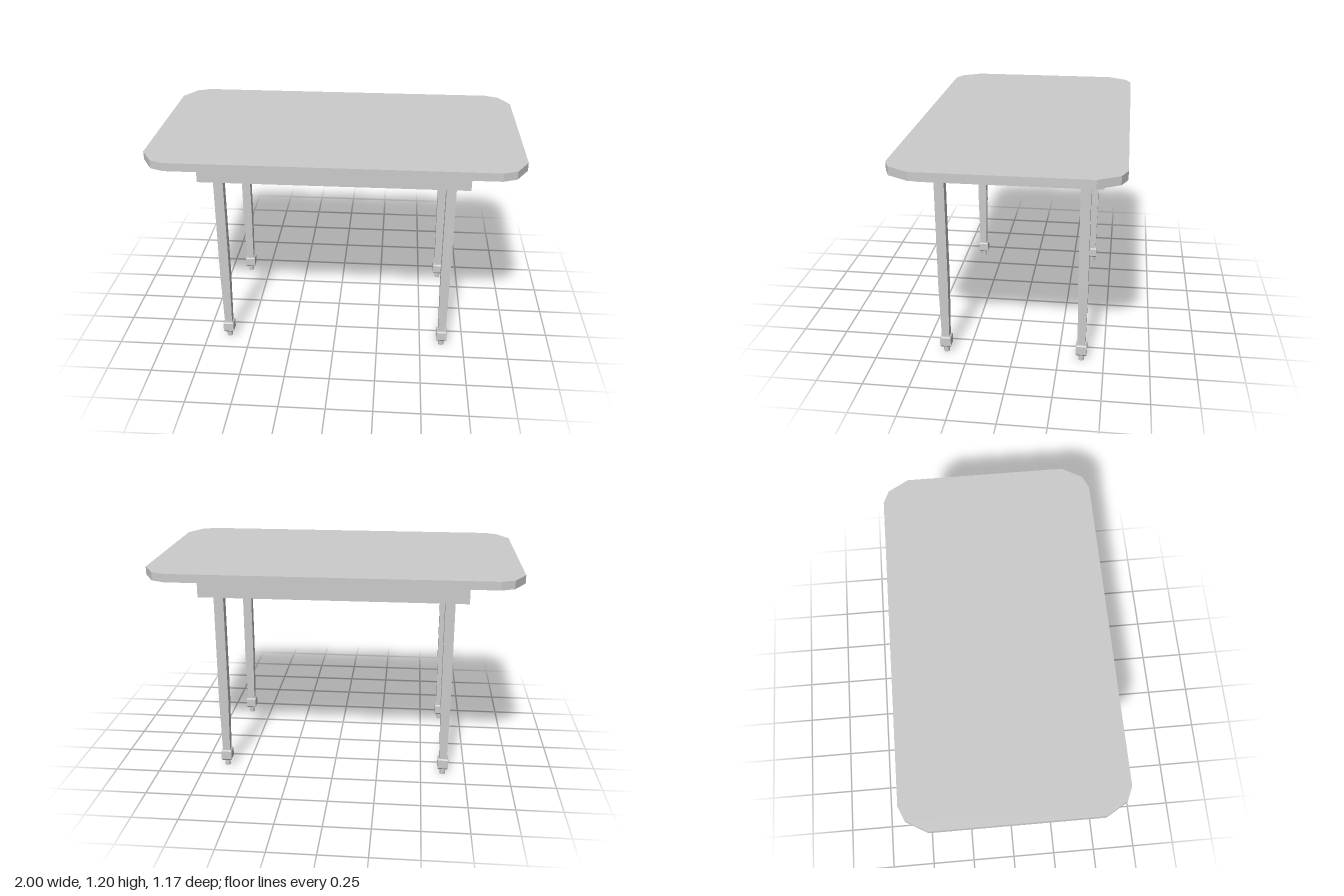
import * as THREE from 'three';

const material = new THREE.MeshStandardMaterial({ color: 0xcccccc, flatShading: true });

function addMesh(parent, geometry, name, x = 0, y = 0, z = 0) {
  const mesh = new THREE.Mesh(geometry, material);
  mesh.name = name;
  mesh.position.set(x, y, z);
  parent.add(mesh);
  return mesh;
}

// Square turned part from [half width, y] pairs, bottom to top, closed at both ends
function squareProfile(pairs) {
  const points = pairs.map(([half, y]) => new THREE.Vector2(half * Math.SQRT2, y));
  points.unshift(new THREE.Vector2(0, pairs[0][1]));
  points.push(new THREE.Vector2(0, pairs[pairs.length - 1][1]));
  return new THREE.LatheGeometry(points, 4, Math.PI / 4);
}

// Slab outline with two-step clipped corners
function tabletopGeometry(thickness) {
  const corner = [[1, 0.44], [0.935, 0.552], [0.862, 0.583]];
  const reversed = [...corner].reverse();
  const outline = [
    ...corner,
    ...reversed.map(([x, z]) => [-x, z]),
    ...corner.map(([x, z]) => [-x, -z]),
    ...reversed.map(([x, z]) => [x, -z]),
  ];
  const shape = new THREE.Shape(outline.map(([x, z]) => new THREE.Vector2(x, z)));
  return new THREE.ExtrudeGeometry(shape, { depth: thickness, bevelEnabled: false }).rotateX(-Math.PI / 2);
}

export function createModel() {
  const table = new THREE.Group();
  table.name = 'table';

  const topY = 1.15;
  addMesh(table, tabletopGeometry(0.045), 'tabletop', 0, topY, 0);

  // Thin apron boards under the top
  const apron = new THREE.Group();
  apron.name = 'apron';
  table.add(apron);
  const halfX = 0.72, halfZ = 0.47, height = 0.11, board = 0.02;
  const longBoard = new THREE.BoxGeometry(halfX * 2, height, board);
  const shortBoard = new THREE.BoxGeometry(board, height, (halfZ - board) * 2);
  for (const s of [1, -1]) {
    addMesh(apron, longBoard, s > 0 ? 'frontApron' : 'backApron', 0, topY - height / 2, s * (halfZ - board / 2));
    addMesh(apron, shortBoard, s > 0 ? 'leftApron' : 'rightApron', s * (halfX - board / 2), topY - height / 2, 0);
  }

  // Tapered square legs with a chamfered block and a small round peg at the foot
  const shaft = squareProfile([[0.021, 0.1], [0.0265, 0.42], [0.0265, topY]]);
  const block = squareProfile([[0.024, 0.036], [0.03, 0.045], [0.03, 0.093], [0.025, 0.1]]);
  const peg = new THREE.CylinderGeometry(0.016, 0.016, 0.04, 12);
  for (const sx of [1, -1]) {
    for (const sz of [1, -1]) {
      const leg = new THREE.Group();
      leg.name = (sz > 0 ? 'front' : 'back') + (sx > 0 ? 'Left' : 'Right') + 'Leg';
      leg.position.set(sx * 0.624, 0, sz * 0.377);
      addMesh(leg, shaft, 'legShaft');
      addMesh(leg, block, 'footBlock');
      addMesh(leg, peg, 'footPeg', 0, 0.02, 0);
      table.add(leg);
    }
  }
  return table;
}
